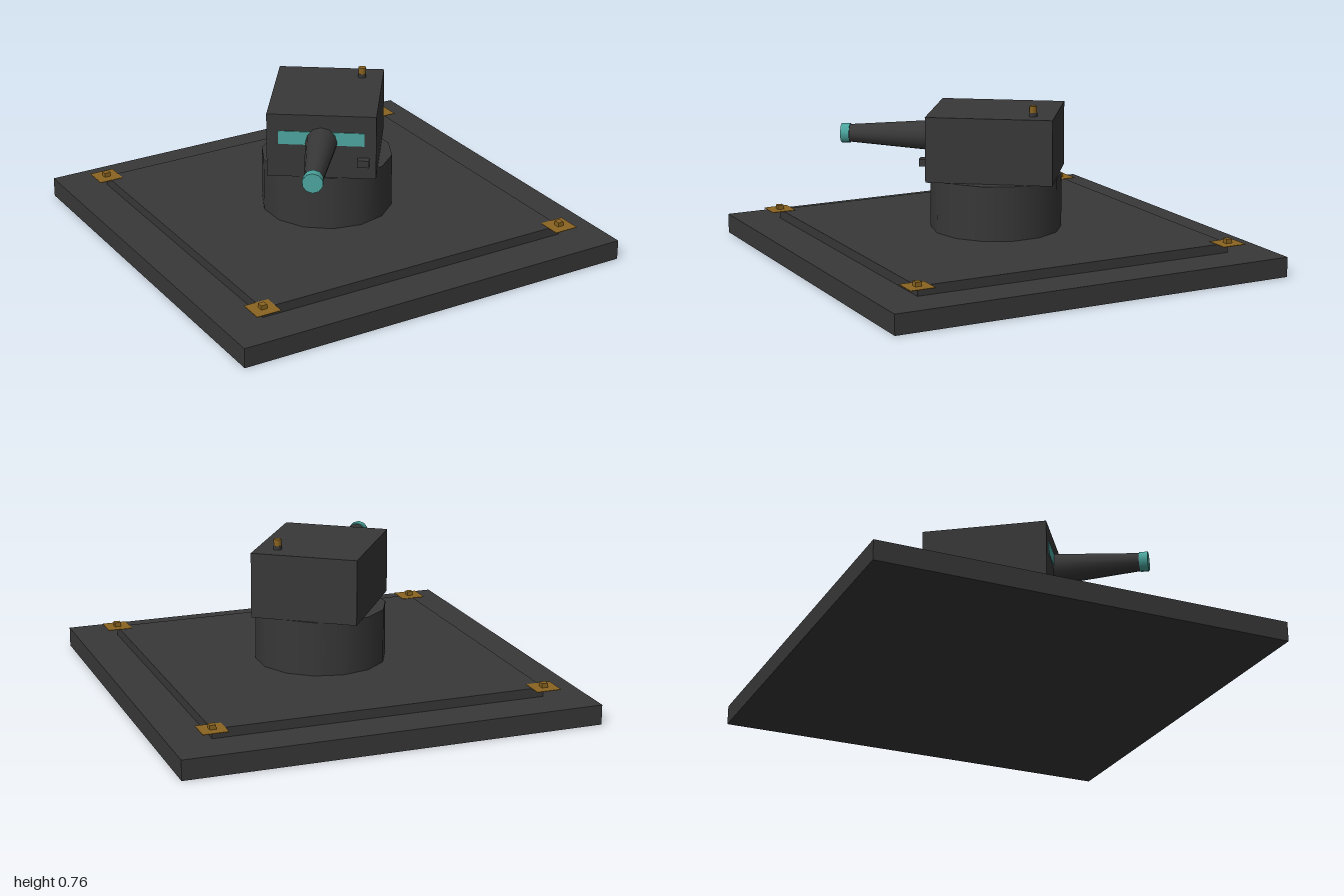
import * as THREE from 'three';

const material = (name, color) => {
  const m = new THREE.MeshStandardMaterial({ color });
  m.name = name;
  return m;
};

export function createModel() {
  const dark = material('dark metal', 0x383838);
  const gold = material('brass', 0x8a6420);
  const teal = material('teal glow', 0x4ca69f);

  const model = new THREE.Group();
  model.name = 'turret';

  const add = (parent, name, geometry, mat, x, y, z) => {
    const mesh = new THREE.Mesh(geometry, mat);
    mesh.name = name;
    mesh.position.set(x, y, z);
    parent.add(mesh);
    return mesh;
  };
  const box = (w, h, d) => new THREE.BoxGeometry(w, h, d);

  // Stepped square foundation
  add(model, 'baseSlab', box(2, 0.095, 2), dark, 0, 0.0475, 0);
  add(model, 'basePlate', box(1.6, 0.045, 1.6), dark, 0, 0.1175, 0);

  // Corner pads, each with a bolt
  for (const x of [-0.8, 0.8]) {
    for (const z of [-0.8, 0.8]) {
      add(model, 'cornerPad', box(0.12, 0.003, 0.12), gold, x, 0.1405, z);
      add(model, 'cornerBolt', box(0.03, 0.022, 0.03), gold, x, 0.152, z);
    }
  }

  // Round pedestal
  add(model, 'pedestal', new THREE.CylinderGeometry(0.315, 0.315, 0.262, 14), dark, 0, 0.27, 0);

  // Head, turned to its right, built facing +z
  const head = new THREE.Group();
  head.name = 'head';
  head.rotation.y = -0.62;
  model.add(head);
  add(head, 'housing', box(0.51, 0.312, 0.6), dark, 0, 0.556, 0);
  add(head, 'visor', box(0.4, 0.065, 0.008), teal, 0, 0.597, 0.3);
  add(head, 'sensor', box(0.055, 0.035, 0.04), dark, 0.197, 0.488, 0.315);

  // Tapered barrel and muzzle along +z
  const barrel = add(head, 'barrel', new THREE.CylinderGeometry(0.041, 0.076, 0.46, 12), dark, 0, 0.577, 0.51);
  const muzzle = add(head, 'muzzle', new THREE.CylinderGeometry(0.048, 0.048, 0.042, 10), teal, 0, 0.577, 0.73);
  barrel.rotation.x = muzzle.rotation.x = Math.PI / 2;

  // Roof beacon
  add(model, 'beaconStem', new THREE.CylinderGeometry(0.02, 0.02, 0.02, 10), dark, 0.24, 0.72, -0.07);
  add(model, 'beacon', new THREE.CylinderGeometry(0.018, 0.018, 0.032, 10), gold, 0.24, 0.745, -0.07);

  return model;
}
